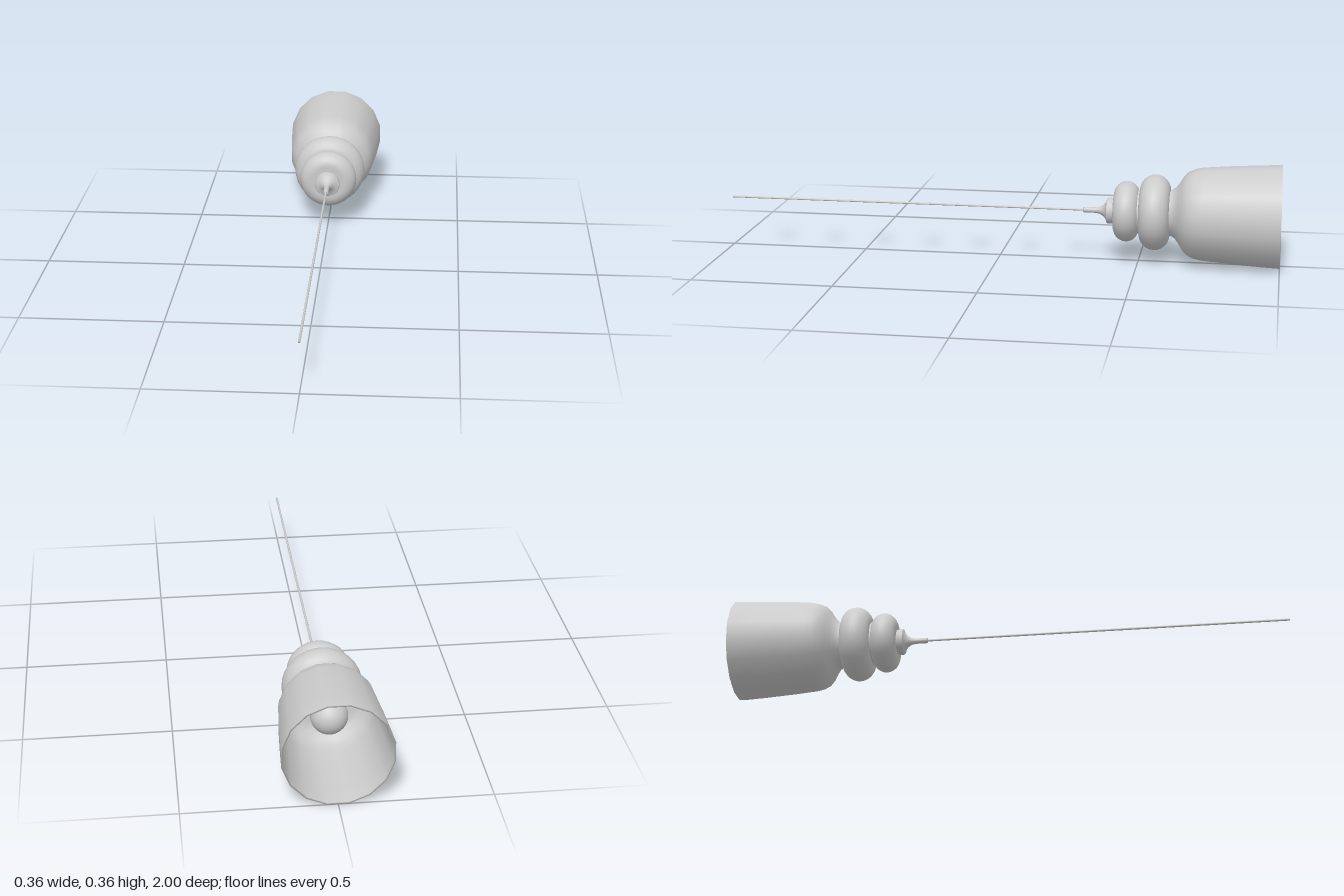
import * as THREE from 'three';

const material = new THREE.MeshStandardMaterial({ color: 0xcccccc, side: THREE.DoubleSide });
const AXIS_HEIGHT = 0.183;

// Lathe along the lamp's axis: points are [radius, distance towards -z]
function turned(name, points, sides, phase = 0) {
  const profile = points.map(([r, h]) => new THREE.Vector2(r, h));
  const geometry = new THREE.LatheGeometry(profile, sides, phase);
  geometry.rotateX(-Math.PI / 2);
  const mesh = new THREE.Mesh(geometry, material);
  mesh.name = name;
  return mesh;
}

// Rounded bead: half a superellipse turned about the axis
function bead(name, centre, halfLength, core, radius) {
  const points = [[0, centre - halfLength]];
  const steps = 12;
  for (let i = 0; i <= steps; i++) {
    const a = -Math.PI / 2 + (Math.PI * i) / steps;
    points.push([core + (radius - core) * Math.cos(a), centre + halfLength * Math.sin(a)]);
  }
  points.push([0, centre + halfLength]);
  return turned(name, points, 32);
}

export function createModel() {
  const lamp = new THREE.Group();
  lamp.name = 'pendantLamp';

  // Thin hanging rod with closed ends
  lamp.add(turned('rod', [[0, -1], [0.004, -1], [0.004, 0.4], [0, 0.4]], 12));

  // Sleeve that flares into a small cap
  lamp.add(turned('sleeve', [
    [0, 0.3], [0.009, 0.3], [0.01, 0.305], [0.01, 0.345], [0.013, 0.36],
    [0.021, 0.373], [0.033, 0.382], [0.045, 0.386],
  ], 24));
  lamp.add(turned('cap', [[0.045, 0.386], [0.047, 0.39], [0.047, 0.4], [0.042, 0.415]], 32));

  // Two stacked beads, with the narrow core between them
  lamp.add(bead('smallBead', 0.455, 0.045, 0.062, 0.108));
  lamp.add(turned('core', [[0.078, 0.47], [0.078, 0.62]], 32));
  lamp.add(bead('largeBead', 0.556, 0.054, 0.08, 0.135));

  // Sixteen-sided shade, outside then rim then inside
  lamp.add(turned('shade', [
    [0.08, 0.6], [0.082, 0.615], [0.09, 0.628], [0.108, 0.642], [0.13, 0.655],
    [0.148, 0.672], [0.159, 0.695], [0.165, 0.725], [0.172, 0.81], [0.179, 0.92], [0.183, 1],
    [0.177, 1], [0.173, 0.92], [0.166, 0.81], [0.159, 0.725], [0.153, 0.698],
    [0.142, 0.677], [0.125, 0.661], [0.1, 0.648], [0, 0.64],
  ], 16, Math.PI / 16));

  // Bulb on its socket inside the shade
  lamp.add(turned('socket', [[0.03, 0.63], [0.03, 0.71]], 20));
  const bulb = new THREE.Mesh(new THREE.SphereGeometry(0.062, 24, 16), material);
  bulb.name = 'bulb';
  bulb.position.z = -0.755;
  lamp.add(bulb);

  for (const part of lamp.children) part.position.y = AXIS_HEIGHT;
  return lamp;
}
